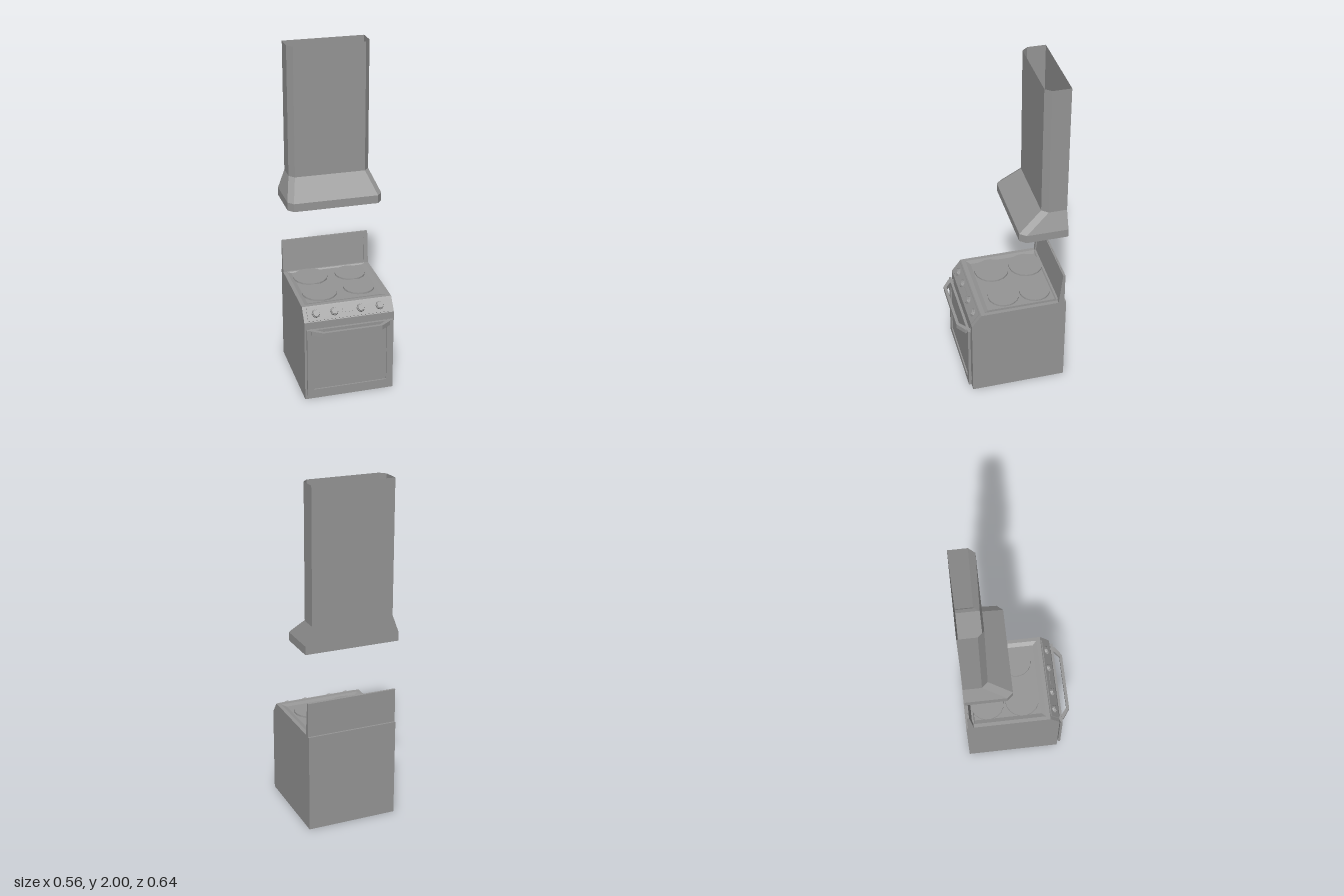
import * as THREE from 'three';

const grey = new THREE.MeshStandardMaterial({ color: 0x959595, flatShading: true });
const thin = new THREE.MeshStandardMaterial({ color: 0x959595, flatShading: true, side: THREE.DoubleSide });

function add(parent, name, geometry, x = 0, y = 0, z = 0, material = grey) {
  const mesh = new THREE.Mesh(geometry, material);
  mesh.name = name;
  mesh.position.set(x, y, z);
  parent.add(mesh);
  return mesh;
}

const box = (w, h, d) => new THREE.BoxGeometry(w, h, d);
const shape = pts => new THREE.Shape(pts.map(p => new THREE.Vector2(...p)));
const rect = (x0, y0, x1, y1) => [[x0, y0], [x1, y0], [x1, y1], [x0, y1]];

function extrude(pts, depth, hole) {
  const s = shape(pts);
  if (hole) s.holes.push(shape(hole));
  return new THREE.ExtrudeGeometry(s, { depth, bevelEnabled: false });
}

// Side profile of [z, y] points swept across the width
const acrossWidth = (pts, width) =>
  extrude(pts.map(([z, y]) => [-z, y]), width).translate(0, 0, -width / 2).rotateY(Math.PI / 2);

// Skin through rings of [x, z] points, each at its own height, with optional closed ends
function loft(rings, capStart, capEnd) {
  const n = rings[0].pts.length, pos = [], idx = [];
  rings.forEach(r => r.pts.forEach(([x, z]) => pos.push(x, r.y, z)));
  for (let k = 0; k < rings.length - 1; k++) {
    for (let i = 0; i < n; i++) {
      const a = k * n + i, b = k * n + (i + 1) % n;
      idx.push(a, b, b + n, a, b + n, a + n);
    }
  }
  const last = (rings.length - 1) * n;
  for (let i = 1; i < n - 1; i++) {
    if (capStart) idx.push(0, i + 1, i);
    if (capEnd) idx.push(last, last + i, last + i + 1);
  }
  const g = new THREE.BufferGeometry();
  g.setAttribute('position', new THREE.Float32BufferAttribute(pos, 3));
  g.setIndex(idx);
  g.computeVertexNormals();
  return g;
}

const ringRect = (y, w, back, front) => ({ y, pts: [[-w, front], [w, front], [w, back], [-w, back]] });

// Rectangle with both front corners cut off
const ringCut = (y, w, back, front, cx, cz) => ({
  y,
  pts: [[-w + cx, front], [w - cx, front], [w, front - cz], [w, back], [-w, back], [-w, front - cz]],
});

function buildCooker() {
  const g = new THREE.Group();
  g.name = 'cooker';

  // Body with a sloping front edge for the controls
  add(g, 'body', acrossWidth(
    [[-0.32, 0], [0.247, 0], [0.247, 0.505], [0.198, 0.57], [-0.32, 0.57]], 0.534));

  // Sunken cooktop
  add(g, 'cooktop', loft([
    ringRect(0.57, 0.267, -0.32, 0.198), ringRect(0.58, 0.267, -0.32, 0.19),
    ringRect(0.58, 0.245, -0.27, 0.165), ringRect(0.572, 0.22, -0.265, 0.14),
  ], false, true));

  // Hotplates: x, z, radius
  for (const [x, z, r] of [[-0.123, 0.033, 0.103], [0.12, 0.022, 0.092],
    [-0.123, -0.18, 0.103], [0.12, -0.168, 0.092]]) {
    add(g, 'hotplate', new THREE.CylinderGeometry(r * 0.99, r, 0.01, 18), x, 0.5765, z);
  }

  // Tapered splashback with a raised border
  add(g, 'splashback', acrossWidth(
    [[-0.309, 0.575], [-0.281, 0.575], [-0.303, 0.78], [-0.309, 0.78]], 0.534));
  const border = add(g, 'splashbackBorder', extrude(
    [[-0.267, 0], [-0.243, 0], [-0.243, 0.167], [0.243, 0.167], [0.243, 0], [0.267, 0],
      [0.267, 0.202], [-0.267, 0.202]], 0.008), 0, 0.578, -0.282);
  border.rotation.x = -0.107;

  // Sloping control panel, a raised plate with a display and four knobs
  const panel = new THREE.Group();
  panel.name = 'controlPanel';
  panel.position.set(0, 0.5415, 0.2195);
  panel.rotation.x = -Math.atan2(0.049, 0.065);
  g.add(panel);
  add(panel, 'panelPlate', box(0.488, 0.08, 0.012));
  add(panel, 'display', box(0.067, 0.022, 0.008), -0.003, 0, 0.005);
  for (const x of [-0.193, -0.084, 0.073, 0.187]) {
    const base = new THREE.CylinderGeometry(0.022, 0.026, 0.014, 8).rotateX(Math.PI / 2);
    add(panel, 'knobBase', base, x, 0.001, 0.01);
    const cap = new THREE.CylinderGeometry(0.018, 0.02, 0.006, 8).rotateX(Math.PI / 2);
    add(panel, 'knobCap', cap, x, 0.001, 0.019);
  }

  // Oven door with a recessed window, held off the body by small mounts
  add(g, 'doorFrame', extrude(rect(-0.257, 0.037, 0.257, 0.465), 0.015,
    rect(-0.22, 0.072, 0.22, 0.43)), 0, 0, 0.255);
  add(g, 'doorWindow', box(0.45, 0.37, 0.006), 0, 0.251, 0.259);
  for (const x of [-0.228, 0.228]) {
    for (const y of [0.06, 0.45]) add(g, 'doorMount', box(0.014, 0.025, 0.014), x, y, 0.251);
  }

  // Bent bar handle
  const handle = extrude([[-0.235, 0.268], [-0.21, 0.268], [-0.168, 0.303], [0.168, 0.303],
    [0.21, 0.268], [0.235, 0.268], [0.235, 0.278], [0.175, 0.32], [-0.175, 0.32], [-0.235, 0.278]], 0.028);
  add(g, 'handle', handle.rotateX(Math.PI / 2), 0, 0.466, 0);
  return g;
}

// Extractor hood flaring out under an open flue
function buildHood() {
  const g = new THREE.Group();
  g.name = 'extractorHood';
  const neck = ringCut(1.23, 0.24, -0.31, -0.17, 0.03, 0.035);
  add(g, 'canopy', loft([
    ringCut(1.073, 0.28, -0.31, -0.035, 0.03, 0.035),
    ringCut(1.122, 0.28, -0.31, -0.035, 0.03, 0.035), neck,
  ], true, false), 0, 0, 0, thin);
  add(g, 'flue', loft([neck, { ...neck, y: 2 }], false, false), 0, 0, 0, thin);
  return g;
}

export function createModel() {
  const model = new THREE.Group();
  model.name = 'cookerWithHood';
  model.add(buildCooker(), buildHood());
  return model;
}
